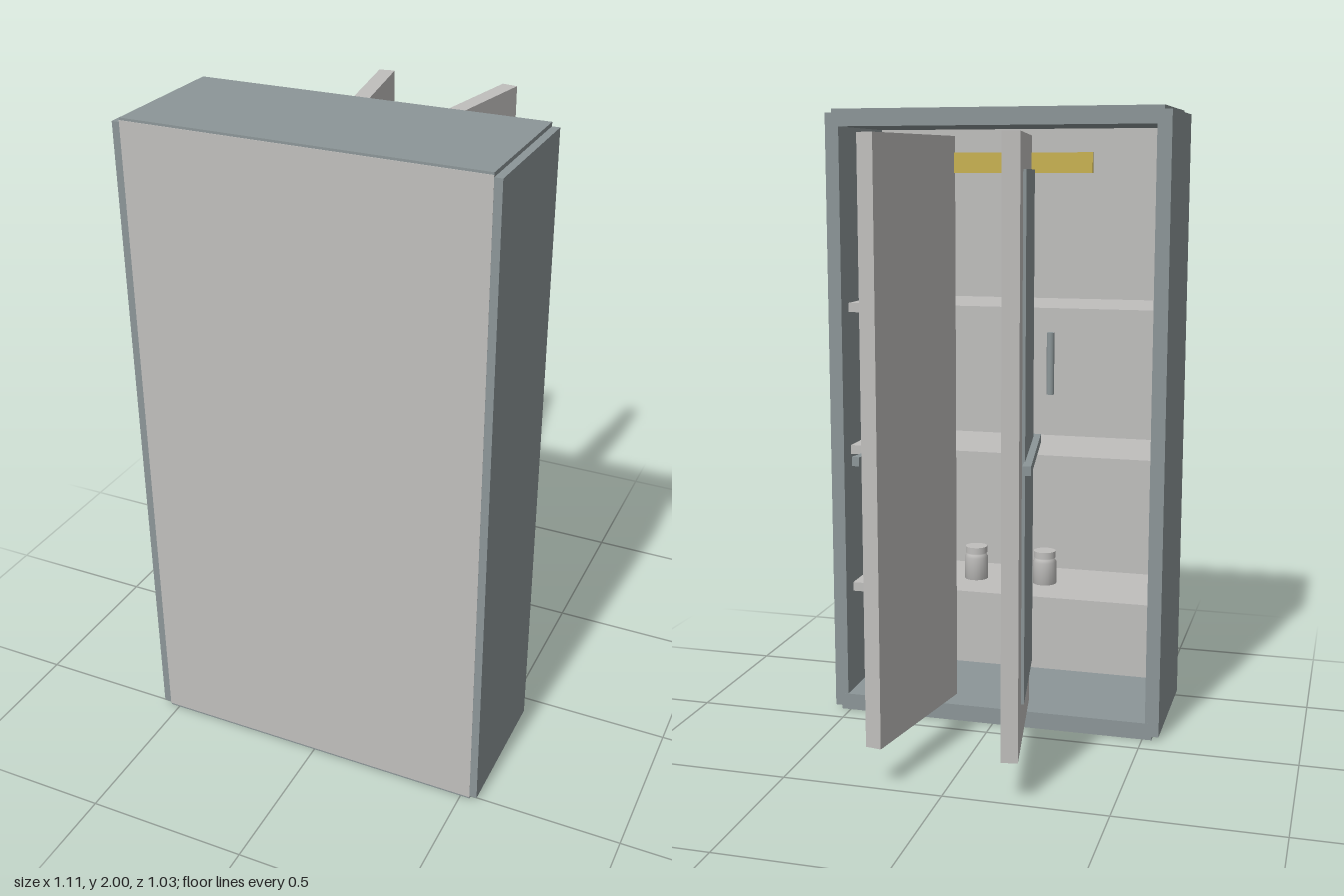
import * as THREE from 'three';

export function createModel() {
  const model = new THREE.Group();
  model.name = 'cabinet';

  const mat = (name, color) => {
    const m = new THREE.MeshStandardMaterial({ color });
    m.name = name;
    return m;
  };
  const steel = mat('blue grey', 0x8c9698);
  const pale = mat('pale grey', 0xc0bfbd);
  const brass = mat('brass', 0xc9b252);

  const add = (parent, name, geometry, material, x, y, z) => {
    const mesh = new THREE.Mesh(geometry, material);
    mesh.name = name;
    mesh.position.set(x, y, z);
    parent.add(mesh);
    return mesh;
  };
  // Box given by its minimum and maximum on each axis
  const slab = (parent, name, material, [x0, x1], [y0, y1], [z0, z1]) =>
    add(parent, name, new THREE.BoxGeometry(x1 - x0, y1 - y0, z1 - z0), material,
      (x0 + x1) / 2, (y0 + y1) / 2, (z0 + z1) / 2);

  // Case: open towards -z, closed by a pale panel at +z
  slab(model, 'topPanel', steel, [-0.53, 0.53], [1.945, 2], [0.075, 0.512]);
  slab(model, 'bottomPanel', steel, [-0.53, 0.53], [0, 0.055], [0.075, 0.512]);
  slab(model, 'closingPanel', pale, [-0.53, 0.53], [0.007, 1.993], [0.495, 0.514]);
  for (const y of [0.4, 0.875, 1.35]) {
    slab(model, 'shelf', pale, [-0.508, 0.508], [y, y + 0.03], [0.14, 0.495]);
  }

  // Rail across the doors
  slab(model, 'rail', brass, [-0.333, 0.333], [1.8, 1.86], [-0.025, -0.015]);

  // Jar with a shoulder, neck and lid
  const jarProfile = [[0, 0], [0.04, 0], [0.04, 0.105], [0.033, 0.115], [0.033, 0.12]]
    .map(([r, y]) => new THREE.Vector2(r, y));

  for (const s of [-1, 1]) {
    slab(model, 'sidePanel', steel,
      s > 0 ? [0.508, 0.553] : [-0.553, -0.508], [0.012, 1.988], [0.0755, 0.5135]);

    add(model, 'handle', new THREE.CylinderGeometry(0.012, 0.012, 0.195, 20), steel,
      s * 0.187, 1.212, 0.076);

    // Open door with an inset plate and a crossbar on its outer face
    const door = new THREE.Group();
    door.name = s > 0 ? 'leftDoor' : 'rightDoor';
    door.position.set(s * 0.163, 0, -0.261);
    door.rotation.y = -s * Math.PI / 18;
    model.add(door);
    add(door, 'doorLeaf', new THREE.BoxGeometry(0.05, 1.78, 0.505), pale, 0, 1.02, 0);
    add(door, 'doorPlate', new THREE.BoxGeometry(0.009, 1.525, 0.385), steel,
      s * 0.033, 1.0475, 0.002);
    add(door, 'crossbar', new THREE.BoxGeometry(0.024, 0.027, 0.502), steel,
      s * 0.046, 0.988, 0.001);

    const jar = new THREE.Group();
    jar.name = 'jar';
    jar.position.set(s * 0.12, 0.4, 0.31);
    model.add(jar);
    add(jar, 'jarBody', new THREE.LatheGeometry(jarProfile, 24), pale, 0, 0, 0);
    add(jar, 'jarLid', new THREE.CylinderGeometry(0.037, 0.037, 0.022, 24), pale, 0, 0.131, 0);
  }

  return model;
}
